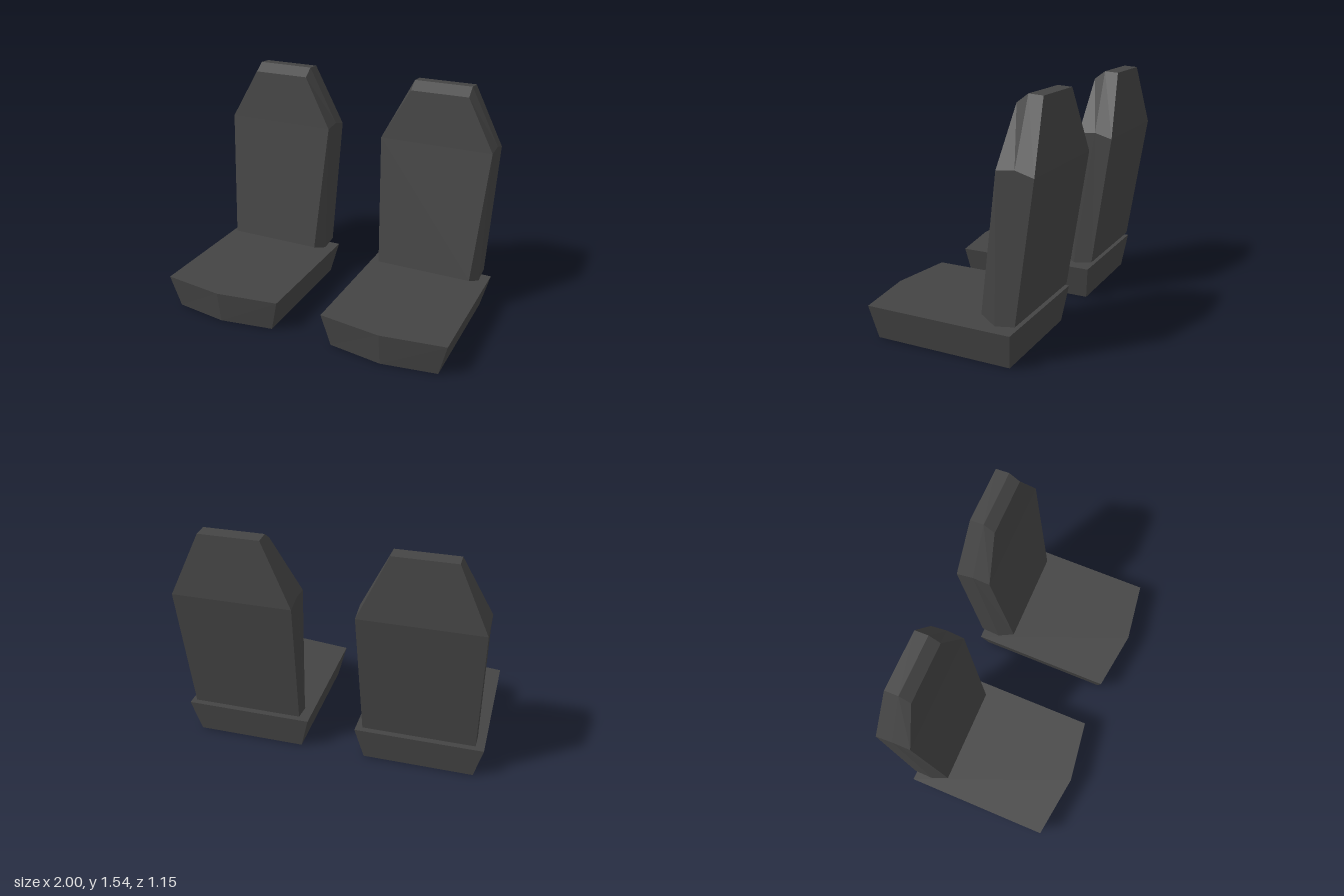
import * as THREE from 'three';

const material = new THREE.MeshStandardMaterial({ color: 0x444444, flatShading: true });

// Joins rings of equal length (counter-clockwise seen from the last ring) and caps both ends.
function loft(rings) {
  const positions = [];
  const tri = (...corners) => corners.forEach((p) => positions.push(...p));
  for (let i = 0; i < rings.length - 1; i++) {
    const lower = rings[i], upper = rings[i + 1];
    lower.forEach((a, j) => {
      const k = (j + 1) % lower.length;
      tri(a, lower[k], upper[k]);
      tri(a, upper[k], upper[j]);
    });
  }
  const first = rings[0], last = rings[rings.length - 1];
  for (let j = 1; j < first.length - 1; j++) {
    tri(first[0], first[j + 1], first[j]);
    tri(last[0], last[j], last[j + 1]);
  }
  const geometry = new THREE.BufferGeometry();
  geometry.setAttribute('position', new THREE.Float32BufferAttribute(positions, 3));
  geometry.computeVertexNormals();
  return geometry;
}

// Cushion outline at one height, with a shallow point at the front.
const cushionRing = (y, w, back, corner, tip) => [
  [-w, y, back], [-w, y, corner], [0, y, tip], [w, y, corner], [w, y, back],
];

// Backrest outline in one layer; each level is [half width, y, z].
const backRing = ([bw, by, bz], [mw, my, mz], [tw, ty, tz]) => [
  [-mw, my, mz], [-bw, by, bz], [bw, by, bz], [mw, my, mz], [tw, ty, tz], [-tw, ty, tz],
];

export function createModel() {
  const group = new THREE.Group();

  const cushion = loft([
    cushionRing(0, 0.363, -0.417, 0.485, 0.54),
    cushionRing(0.225, 0.42, -0.445, 0.515, 0.573),
  ]);

  // Rear, middle and front layers, each tapering to the headrest
  const backrest = loft([
    backRing([0.365, 0.26, -0.45], [0.385, 1.13, -0.575], [0.195, 1.537, -0.537]),
    backRing([0.365, 0.24, -0.323], [0.385, 1.163, -0.46], [0.195, 1.543, -0.447]),
    backRing([0.327, 0.28, -0.217], [0.383, 1.15, -0.345], [0.195, 1.49, -0.377]),
  ]);

  for (const [side, x] of [['left', 0.58], ['right', -0.58]]) {
    const seat = new THREE.Group();
    seat.name = `${side}Seat`;
    seat.position.x = x;
    for (const [name, geometry] of [['Cushion', cushion], ['Backrest', backrest]]) {
      const mesh = new THREE.Mesh(geometry, material);
      mesh.name = side + name;
      seat.add(mesh);
    }
    group.add(seat);
  }
  return group;
}
